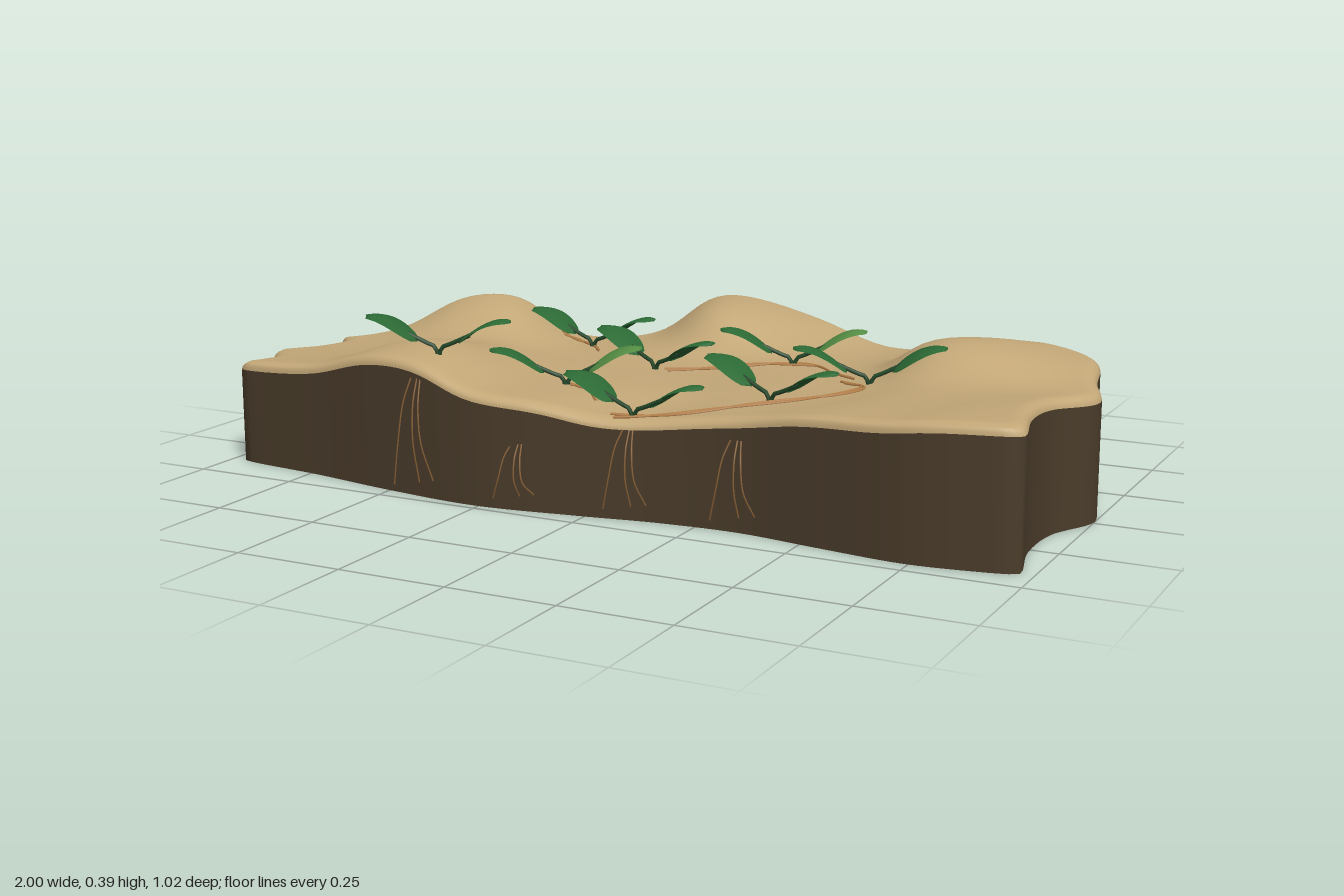
import * as THREE from 'three';

const flat = (name, color, side = THREE.FrontSide) => {
  const m = new THREE.MeshStandardMaterial({ color, side });
  m.name = name;
  return m;
};

// Outline of the ground patch as x, z pairs: left tip, back, right end, front, left end
const OUTLINE = [
  [-0.95, 0.002], [-0.93, -0.015], [-0.72, -0.17], [-0.45, -0.28], [-0.235, -0.415], [-0.05, -0.495], [0.13, -0.515],
  [0.35, -0.48], [0.57, -0.435], [0.78, -0.37], [0.915, -0.285], [0.96, -0.13], [1.0, -0.01],
  [0.945, 0.125], [0.94, 0.27], [0.97, 0.41], [0.965, 0.421], [0.83, 0.45], [0.73, 0.457],
  [0.54, 0.435], [0.35, 0.41], [0.165, 0.42], [-0.02, 0.45], [-0.26, 0.48], [-0.5, 0.457],
  [-0.72, 0.42], [-0.965, 0.386], [-0.97, 0.377], [-0.945, 0.3], [-1.0, 0.2], [-0.935, 0.11], [-0.92, 0.04],
];

// Hills and hollows as x, z, height
const HILLS = [
  [-0.95, 0.05, 0.235], [-0.97, 0.36, 0.245], [-0.98, 0.2, 0.235], [-0.75, 0.4, 0.255], [-0.51, 0.44, 0.305],
  [-0.5, 0.29, 0.345], [-0.2, 0.44, 0.25], [0.1, 0.42, 0.215], [0.3, 0.4, 0.245], [0.55, 0.42, 0.28],
  [0.9, 0.4, 0.3], [0.95, 0.24, 0.305], [0.95, 0, 0.28], [0.7, -0.17, 0.355], [0.9, -0.25, 0.3],
  [0.55, -0.42, 0.27], [0.36, -0.45, 0.232], [0, -0.4, 0.36], [0.14, -0.5, 0.29], [0.22, -0.28, 0.25],
  [-0.33, -0.32, 0.23], [-0.25, -0.13, 0.24], [-0.64, -0.17, 0.355], [-0.87, -0.04, 0.245], [0, 0, 0.235],
  [0.3, -0.08, 0.25], [0.4, 0.15, 0.25], [0.7, 0.18, 0.285], [-0.08, 0.2, 0.24], [-0.6, 0.08, 0.26],
  [-0.28, 0.2, 0.245], [-0.78, 0.18, 0.245],
];

const N = 220;
const rim = new THREE.CatmullRomCurve3(OUTLINE.map(([x, z]) => new THREE.Vector3(x, 0, z)), true, 'centripetal')
  .getSpacedPoints(N).slice(0, N);
const CENTRE = new THREE.Vector3(0, 0, 0.08);

// Blended hill height, rounded off close to the rim
function groundHeight(x, z) {
  let sum = 0, weight = 0;
  for (const [hx, hz, h] of HILLS) {
    const w = Math.exp(-((x - hx) ** 2 + (z - hz) ** 2) / 0.026);
    sum += w * h;
    weight += w;
  }
  let d = Infinity;
  for (const p of rim) d = Math.min(d, (p.x - x) ** 2 + (p.z - z) ** 2);
  const edge = Math.max(0, 1 - Math.sqrt(d) / 0.035);
  return sum / weight - 0.022 * (1 - Math.sqrt(1 - edge * edge));
}

// Surface through a list of closed loops
function loft(loops) {
  const position = loops.flat().flatMap((p) => [p.x, p.y, p.z]);
  const index = [];
  for (let j = 0; j < loops.length - 1; j++) {
    for (let i = 0; i < N; i++) {
      const k = (i + 1) % N;
      const a = j * N + i, b = j * N + k, c = a + N, d = b + N;
      index.push(a, b, c, b, d, c);
    }
  }
  const g = new THREE.BufferGeometry();
  g.setAttribute('position', new THREE.Float32BufferAttribute(position, 3));
  g.setIndex(index);
  g.computeVertexNormals();
  return g;
}

// Blunt blade that rises from its stalk and levels out at the tip
function leafGeometry() {
  const g = new THREE.PlaneGeometry(1, 2, 16, 6);
  const p = g.attributes.position;
  for (let i = 0; i < p.count; i++) {
    const u = p.getX(i) + 0.5, v = p.getY(i);
    const width = 0.047 * Math.max(0, Math.sin(Math.PI * u ** 0.9)) ** 0.4;
    p.setXYZ(i, 0.05 + 0.121 * u, 0.032 + 0.053 * Math.sin(u * 1.8) - 0.006 * v * v, -v * width);
  }
  g.computeVertexNormals();
  return g;
}

function tube(points, radius, segments = 16) {
  const curve = new THREE.CatmullRomCurve3(points.map((p) => new THREE.Vector3(...p)));
  return new THREE.TubeGeometry(curve, segments, radius, 5);
}

// Seedlings: centres of both leaves, and whether the second one is young
const SEEDLINGS = [
  [-0.425, -0.165, -0.205, -0.16], [-0.175, -0.027, 0.06, 0.03], [0.135, -0.095, 0.335, -0.175, true],
  [0.38, 0.08, 0.6, -0.03], [0.235, 0.215, 0.455, 0.26], [-0.02, 0.39, 0.21, 0.405],
  [-0.52, 0.4, -0.31, 0.345], [-0.245, 0.32, -0.05, 0.205, true],
];

// Runners lying on the sand
const RUNNERS = [
  [[0.05, 0.41], [0.18, 0.37], [0.3, 0.3], [0.42, 0.19], [0.49, 0.06], [0.42, 0.01]],
  [[-0.03, 0], [0.08, -0.06], [0.2, -0.12], [0.29, -0.14], [0.36, -0.08], [0.43, -0.03]],
  [[-0.42, -0.2], [-0.36, -0.19], [-0.31, -0.16], [-0.27, -0.11]],
  [[-0.14, 0.26], [-0.08, 0.28], [-0.03, 0.34]],
];

export function createModel() {
  const sand = flat('sand', 0xc4a878);
  const soil = flat('soil', 0x4b3d2b);
  const leafGreen = flat('leaf green', 0x2c6a35, THREE.DoubleSide);
  const youngGreen = flat('young leaf green', 0x568f45, THREE.DoubleSide);
  const stemGreen = flat('stem green', 0x264a2a);
  const runnerBrown = flat('runner brown', 0xb8824a);
  const rootBrown = flat('root brown', 0x8a6238);

  const model = new THREE.Group();
  const add = (parent, name, geometry, material) => {
    const mesh = new THREE.Mesh(geometry, material);
    mesh.name = name;
    parent.add(mesh);
  };

  // Sand surface, with rings packed tighter towards the rim
  const rings = [];
  for (let j = 0; j <= 40; j++) {
    const t = 0.002 + 0.998 * (1 - (1 - j / 40) ** 1.7);
    rings.push(rim.map((p) => {
      const q = CENTRE.clone().lerp(p, t);
      q.y = groundHeight(q.x, q.z);
      return q;
    }));
  }
  add(model, 'sandSurface', loft(rings), sand);

  // Soil wall and flat underside
  const top = rings[rings.length - 1];
  add(model, 'soilWall', loft([top, rim]), soil);
  add(model, 'underside', loft([rim, rim.map((p) => CENTRE.clone().lerp(p, 0.002))]), soil);

  // Seedlings
  const leaf = leafGeometry();
  const stalk = tube([[0, -0.02, 0], [0.008, 0.015, 0], [0.03, 0.025, 0], [0.075, 0.046, 0]], 0.005, 8);
  for (const [ax, az, bx, bz, young] of SEEDLINGS) {
    const x = (ax + bx) / 2, z = (az + bz) / 2;
    const plant = new THREE.Group();
    plant.name = 'seedling';
    plant.position.set(x, groundHeight(x, z), z);
    [[ax, az], [bx, bz]].forEach(([lx, lz], i) => {
      const half = new THREE.Group();
      half.name = 'leafAndStalk';
      half.rotation.y = Math.atan2(-(lz - z), lx - x);
      add(half, 'leaf', leaf, young && i === 1 ? youngGreen : leafGreen);
      add(half, 'stalk', stalk, stemGreen);
      plant.add(half);
    });
    model.add(plant);
  }

  // Runners in two strands that weave around each other, half sunk in the sand
  for (const path of RUNNERS) {
    const curve = new THREE.CatmullRomCurve3(path.map(([x, z]) => new THREE.Vector3(x, 0, z)));
    for (const side of [-1, 1]) {
      const points = curve.getPoints(18).map((p, i) => {
        const shift = 0.007 * side * Math.cos(i * 0.7);
        return [p.x + shift, groundHeight(p.x + shift, p.z + shift) + 0.0015, p.z + shift];
      });
      add(model, 'runner', tube(points, 0.0035, 36), runnerBrown);
    }
  }

  // Fine roots hanging over the front wall: x, z of the wall, top height
  const HANGING = [[-0.415, 0.468, 0.27], [-0.155, 0.468, 0.15], [0.1, 0.432, 0.2], [0.345, 0.41, 0.2]];
  for (const [x, z, h] of HANGING) {
    for (const s of [-1, 0.3, 1]) {
      const out = z + 0.03 + 0.008 * s;
      add(model, 'hangingRoot', tube([
        [x + 0.012 * s, h, z], [x + 0.025 * s, h * 0.8, out - 0.008],
        [x + 0.035 * s, h * 0.5, out], [x + 0.052 * s, 0.035 + 0.01 * s, z + 0.018],
      ], 0.002), rootBrown);
    }
  }
  return model;
}
